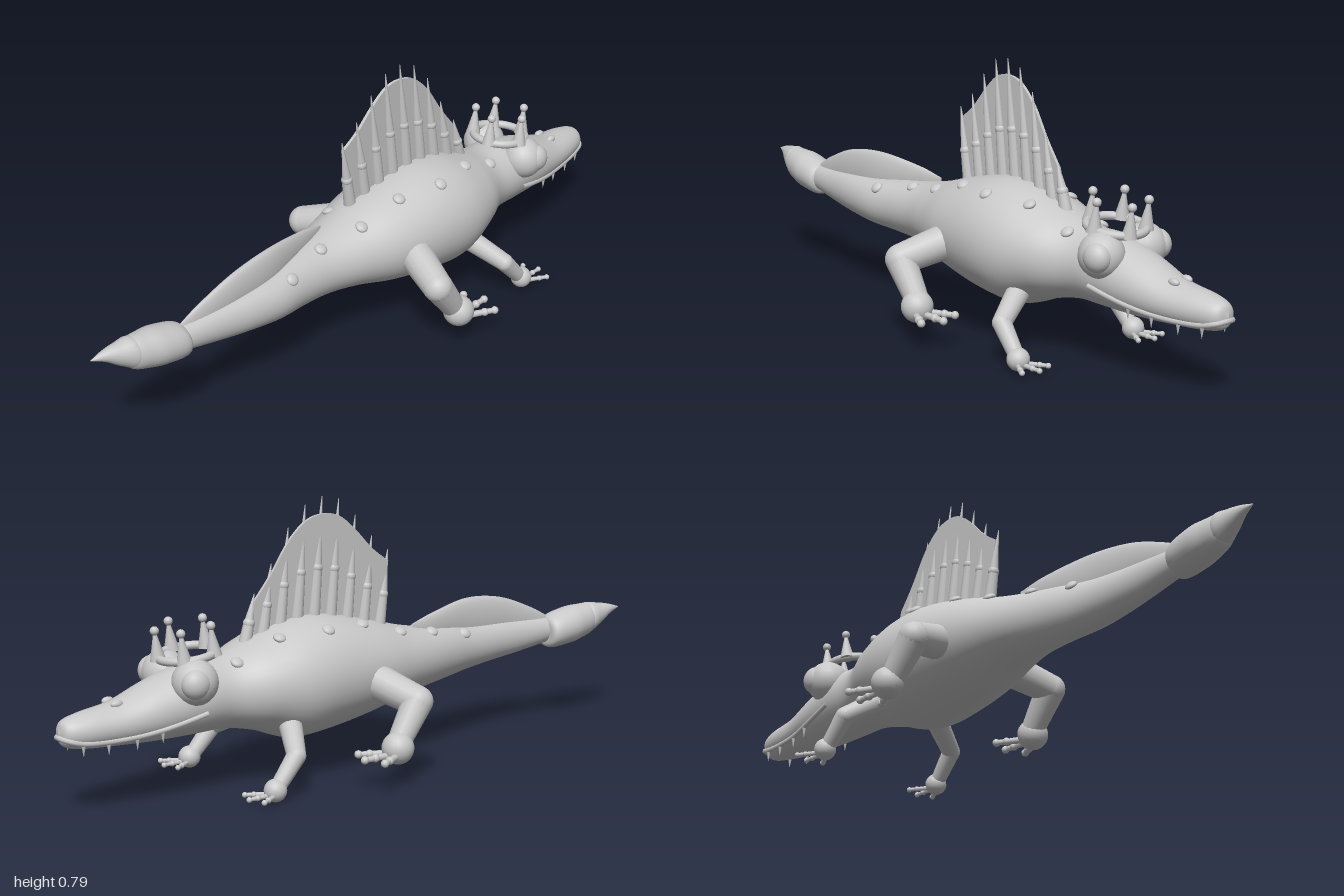
import * as THREE from 'three';
import { mergeGeometries } from 'three/addons/utils/BufferGeometryUtils.js';

const skin = new THREE.MeshStandardMaterial({ color: 0xc8c8c8 });
skin.name = 'plain grey';
const V = (x, y, z) => new THREE.Vector3(x, y, z);

function part(parent, name, geos) {
  const mesh = new THREE.Mesh(Array.isArray(geos) ? mergeGeometries(geos) : geos, skin);
  mesh.name = name;
  parent.add(mesh);
  return mesh;
}

// Sections [z, centre x, half width, top y, bottom y], smoothed lengthwise
function sections(rows) {
  const mid = new THREE.CatmullRomCurve3(rows.map(([z, x, , t, b]) => V(x, (t + b) / 2, z)), false, 'catmullrom');
  const rad = new THREE.CatmullRomCurve3(rows.map(([z, , w, t, b]) => V(w, (t - b) / 2, z)), false, 'catmullrom');
  const at = (t) => {
    const c = mid.getPoint(t), r = rad.getPoint(t);
    return { x: c.x, y: c.y, z: c.z, rx: Math.max(r.x, 0.001), ry: Math.max(r.y, 0.001) };
  };
  const atZ = (z) => {
    let lo = 0, hi = 1;
    for (let i = 0; i < 30; i++) {
      const m = (lo + hi) / 2;
      if (mid.getPoint(m).z < z) lo = m; else hi = m;
    }
    return at(lo);
  };
  return { at, atZ };
}

function loft(sec, rings, sides) {
  const pos = [], idx = [];
  for (let i = 0; i <= rings; i++) {
    const s = sec.at(i / rings);
    for (let j = 0; j < sides; j++) {
      const a = (j / sides) * Math.PI * 2;
      pos.push(s.x + s.rx * Math.cos(a), s.y + s.ry * Math.sin(a), s.z);
      if (i < rings) {
        const p = i * sides + j, q = i * sides + (j + 1) % sides;
        idx.push(p, q, p + sides, q, q + sides, p + sides);
      }
    }
  }
  const g = new THREE.BufferGeometry();
  g.setAttribute('position', new THREE.Float32BufferAttribute(pos, 3));
  g.setIndex(idx);
  g.computeVertexNormals();
  return g;
}

// Tapered rod from a to b, and a ball
function rod(a, b, ra, rb, sides = 16) {
  const d = b.clone().sub(a);
  const g = new THREE.CylinderGeometry(rb, ra, d.length(), sides);
  g.applyQuaternion(new THREE.Quaternion().setFromUnitVectors(V(0, 1, 0), d.normalize()));
  const m = a.clone().add(b).multiplyScalar(0.5);
  return g.translate(m.x, m.y, m.z);
}
const ball = (p, r, sx = 1, sy = 1, sz = 1) =>
  new THREE.SphereGeometry(r, 20, 14).scale(sx, sy, sz).translate(p.x, p.y, p.z);

// Flat side plate from [z, y] points, thickness w, shifted sideways by xAt(z)
function plate(points, w, xAt) {
  const shape = new THREE.Shape(points.map(([z, y]) => new THREE.Vector2(-z, y)));
  const g = new THREE.ExtrudeGeometry(shape, { depth: w, bevelEnabled: false });
  g.translate(0, 0, -w / 2).rotateY(Math.PI / 2);
  const p = g.attributes.position;
  for (let i = 0; i < p.count; i++) p.setX(i, p.getX(i) + xAt(p.getZ(i)));
  return g;
}

const bodySec = sections([
  [-1, 0, 0.001, 0.235, 0.225], [-0.985, 0, 0.035, 0.265, 0.195], [-0.93, 0, 0.056, 0.28, 0.182],
  [-0.83, 0.004, 0.073, 0.295, 0.175], [-0.72, 0.005, 0.093, 0.335, 0.17], [-0.6, 0.005, 0.105, 0.37, 0.17],
  [-0.5, 0.006, 0.11, 0.375, 0.17], [-0.4, 0.008, 0.155, 0.41, 0.15], [-0.29, 0.01, 0.184, 0.447, 0.112],
  [-0.17, 0.01, 0.183, 0.455, 0.118], [-0.02, 0.006, 0.16, 0.425, 0.145], [0.1, 0, 0.123, 0.39, 0.175],
  [0.2, 0, 0.093, 0.37, 0.19], [0.3, 0.012, 0.074, 0.36, 0.2], [0.4, 0.028, 0.063, 0.35, 0.21],
  [0.5, 0.03, 0.051, 0.345, 0.222], [0.6, 0.024, 0.04, 0.34, 0.235], [0.75, 0.012, 0.03, 0.33, 0.26],
]);

// Arm or leg with ball foot and three knobbed toes
function limb(parent, name, side, hip, knee, ankle, foot, r, footR, toeLen, spread) {
  const g = new THREE.Group();
  g.name = name;
  parent.add(g);
  const m = (p) => V(p[0] * side, p[1], p[2]);
  const [h, k, a, f] = [hip, knee, ankle, foot].map(m);
  part(g, 'upperLimb', [rod(h, k, r[0], r[1]), ball(k, r[1])]);
  part(g, 'lowerLimb', rod(k, a, r[1], r[2]));
  part(g, 'foot', ball(f, footR));
  const toes = [];
  for (const t of [-1, 0, 1]) {
    const tip = V(f.x + t * spread, f.y - footR * 0.35, f.z - toeLen * (t ? 0.8 : 1));
    const start = V(f.x + t * footR * 0.5, tip.y, f.z - footR * 0.5);
    const knuckle = start.clone().lerp(tip, 0.6);
    toes.push(rod(start, tip, footR * 0.22, footR * 0.17, 10), ball(knuckle, footR * 0.26), ball(tip, footR * 0.25));
  }
  part(g, 'toes', toes);
}

export function createModel() {
  const model = new THREE.Group();
  model.name = 'sailBackedLizard';
  part(model, 'body', loft(bodySec, 110, 40));

  // Tail bulb and pointed tip
  part(model, 'tailBulb', loft(sections([
    [0.715, 0.005, 0.001, 0.286, 0.284], [0.72, 0.005, 0.05, 0.334, 0.24], [0.79, 0, 0.059, 0.357, 0.243],
    [0.84, -0.003, 0.052, 0.362, 0.253], [0.89, -0.006, 0.036, 0.358, 0.272], [0.895, -0.006, 0.001, 0.31, 0.308],
  ]), 40, 28));
  part(model, 'tailTip', loft(sections([
    [0.868, -0.005, 0.001, 0.317, 0.315], [0.875, -0.006, 0.042, 0.362, 0.27], [0.92, -0.013, 0.031, 0.36, 0.292],
    [0.96, -0.02, 0.016, 0.353, 0.32], [1, -0.025, 0.001, 0.341, 0.339],
  ]), 24, 20));

  // Leaf-shaped tail fin
  part(model, 'tailFin', loft(sections([
    [0.16, -0.02, 0.002, 0.385, 0.35], [0.25, -0.008, 0.013, 0.408, 0.33], [0.4, 0.018, 0.02, 0.43, 0.3],
    [0.54, 0.024, 0.018, 0.416, 0.3], [0.66, 0.018, 0.012, 0.372, 0.29], [0.73, 0.012, 0.005, 0.335, 0.28],
  ]), 40, 20));

  // Back sail: web and jointed spines
  const xAt = (z) => -0.006 - 0.068 * (z + 0.19);
  const tips = [0.615, 0.66, 0.725, 0.775, 0.785, 0.765, 0.705, 0.61, 0.53];
  const edge = [];
  const spines = [];
  tips.forEach((y, i) => {
    const z = 0.035 - i * 0.0555;
    const baseY = bodySec.atZ(z).y + bodySec.atZ(z).ry - 0.015;
    const p = V(xAt(z), baseY, z);
    const q = V(xAt(z) + 0.003, y, z + 0.035);
    const joint = p.clone().lerp(q, 0.42);
    spines.push(rod(p, joint, 0.019, 0.015, 12), ball(joint, 0.0165), rod(joint, q, 0.0145, 0.001, 12));
    const e = p.clone().lerp(q, 0.86);
    edge.push([e.z, e.y]);
  });
  part(model, 'sailSpines', spines);
  const smooth = new THREE.SplineCurve(edge.map(([z, y]) => new THREE.Vector2(z, y))).getPoints(40);
  part(model, 'sailWeb', plate([[0.035, 0.38], ...smooth.map((p) => [p.x, p.y]), [-0.41, 0.38]].reverse(), 0.009, xAt));

  // Legs
  for (const side of [1, -1]) {
    const s = side > 0 ? 'left' : 'right';
    const dx = side > 0 ? 0.01 : 0;
    limb(model, s + 'HindLeg', side, [0.1 + dx, 0.275, -0.07], [0.265 + dx, 0.225, -0.015],
      [0.275, 0.12, -0.09], [0.284, 0.108, -0.1], [0.053, 0.044, 0.034], 0.046, 0.115, 0.06);
    limb(model, s + 'FrontLeg', side, [0.09 + dx, 0.185, -0.33], [0.2 + dx * 2, 0.115, -0.385],
      [0.205 + dx * 2, 0.04, -0.45], [0.207 + dx * 2, 0.032, -0.46], [0.034, 0.027, 0.022], 0.032, 0.085, 0.047);
  }

  // Eyes with a raised pupil, and nostrils
  for (const side of [1, -1]) {
    const c = V(0.005 + 0.078 * side, 0.33, -0.625);
    part(model, 'eye', ball(c, 0.064));
    part(model, 'pupil', ball(V(c.x + 0.034 * side, c.y + 0.003, c.z - 0.018), 0.042, 0.85));
    part(model, 'nostril', ball(V(0.004 + 0.024 * side, 0.291, -0.835), 0.014, 0.8, 0.8, 1.3));
  }

  // Lips run round the snout, with small teeth below
  const lipRow = [[-0.6, 0.245], [-0.66, 0.23], [-0.73, 0.215], [-0.8, 0.205], [-0.88, 0.202], [-0.95, 0.206], [-0.985, 0.215]];
  const onSkin = ([z, y], side) => {
    const b = bodySec.atZ(z);
    return V(b.x + side * b.rx * Math.sqrt(Math.max(0, 1 - ((y - b.y) / b.ry) ** 2)), y, z);
  };
  const lipPath = [...lipRow.map((p) => onSkin(p, 1)), V(0, 0.22, -0.998), ...lipRow.map((p) => onSkin(p, -1)).reverse()];
  part(model, 'lips', new THREE.TubeGeometry(new THREE.CatmullRomCurve3(lipPath), 90, 0.008, 8));
  const teeth = [];
  for (const side of [1, -1]) for (const i of [2, 3, 4, 5]) {
    const p = onSkin(lipRow[i], side);
    teeth.push(rod(p, V(p.x, p.y - 0.035, p.z), 0.007, 0.0005, 8));
  }
  part(model, 'teeth', teeth);

  // Crown: tilted ring with five ball-topped points
  const crown = new THREE.Group();
  crown.name = 'crown';
  crown.position.set(0.006, 0.392, -0.6);
  crown.rotation.x = -0.12;
  model.add(crown);
  part(crown, 'crownBand', new THREE.TorusGeometry(0.08, 0.012, 12, 48).rotateX(Math.PI / 2));
  const points = [];
  for (let i = 0; i < 5; i++) {
    const a = (i / 5) * Math.PI * 2 + 0.02;
    const b = V(0.08 * Math.cos(a), -0.005, 0.08 * Math.sin(a));
    const t = V(b.x, 0.078, b.z);
    points.push(rod(b, t, 0.022, 0.003, 14), ball(t, 0.0125));
  }
  part(crown, 'crownPoints', points);

  // Paired warts along the back
  const warts = [];
  const offsets = [[-0.48, 0.065], [-0.345, 0.077], [-0.2, 0.108], [-0.06, 0.075], [0.08, 0.066], [0.22, 0.04], [0.36, 0.046]];
  for (const [z, dx] of offsets) for (const side of [1, -1]) {
    const b = bodySec.atZ(z);
    const u = dx / b.rx;
    const g = new THREE.SphereGeometry(0.019, 16, 12).scale(1, 0.55, 1);
    const n = V(side * u / b.rx, Math.sqrt(1 - u * u) / b.ry, 0).normalize();
    g.applyQuaternion(new THREE.Quaternion().setFromUnitVectors(V(0, 1, 0), n));
    warts.push(g.translate(b.x + side * dx, b.y + b.ry * Math.sqrt(1 - u * u), z));
  }
  part(model, 'warts', warts);
  return model;
}
